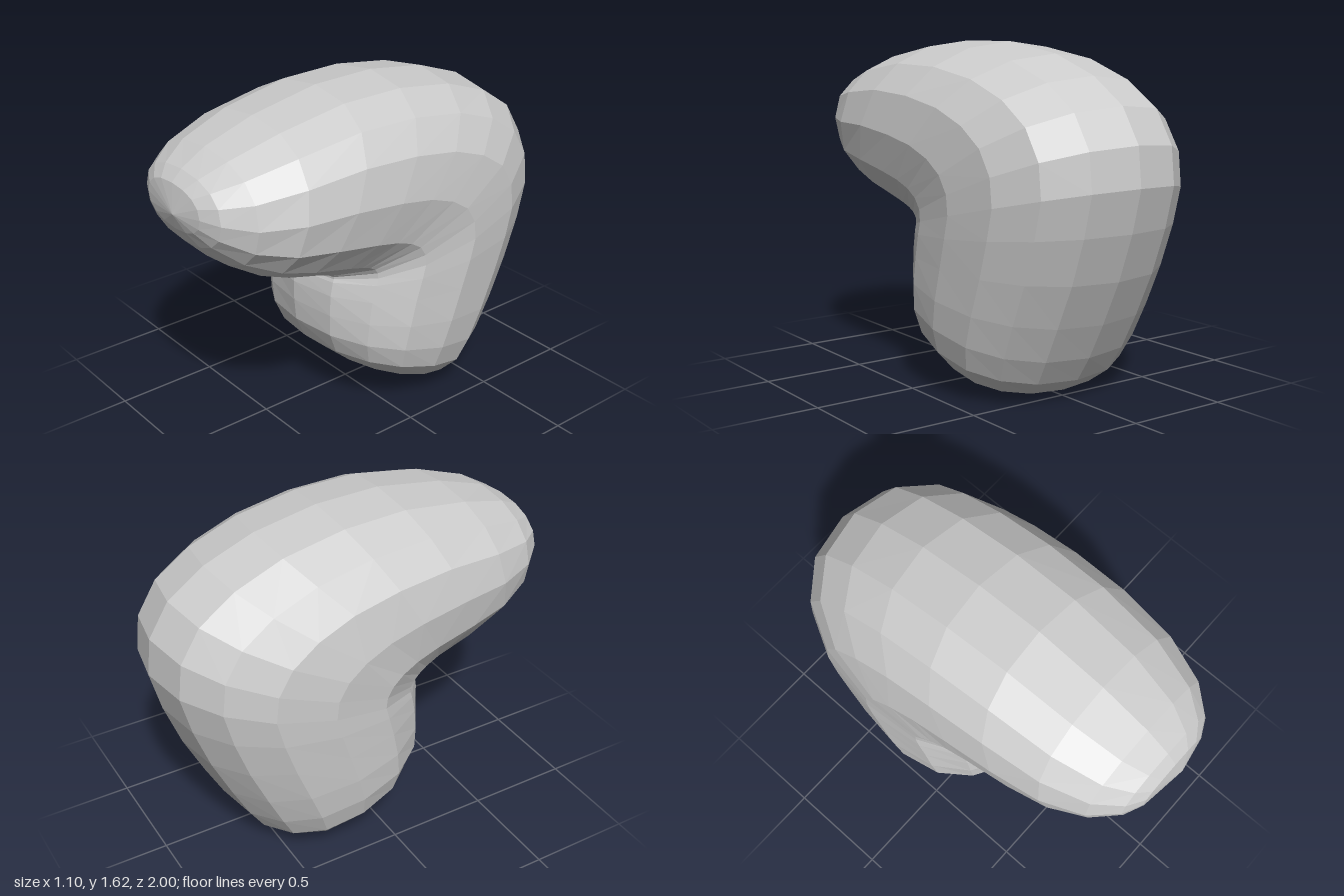
import * as THREE from 'three';

// Cross-sections from the lower end, round the bend, to the front tip:
// [outer z, outer y, inner z, inner y, half width]
const SECTIONS = [
  [-0.38, 0.005, -0.03, 0.12, 0.26],
  [-0.50, 0.03, 0.13, 0.22, 0.40],
  [-0.60, 0.10, 0.25, 0.33, 0.48],
  [-0.68, 0.22, 0.30, 0.44, 0.515],
  [-0.77, 0.39, 0.31, 0.55, 0.53],
  [-0.87, 0.60, 0.31, 0.65, 0.535],
  [-0.95, 0.82, 0.30, 0.715, 0.54],
  [-1.00, 1.02, 0.295, 0.725, 0.54],
  [-0.98, 1.20, 0.295, 0.73, 0.54],
  [-0.88, 1.36, 0.30, 0.735, 0.54],
  [-0.70, 1.48, 0.31, 0.74, 0.535],
  [-0.45, 1.57, 0.33, 0.75, 0.53],
  [-0.13, 1.62, 0.37, 0.77, 0.525],
  [0.20, 1.62, 0.54, 0.82, 0.51],
  [0.55, 1.56, 0.68, 0.88, 0.475],
  [0.80, 1.48, 0.82, 0.97, 0.395],
  [0.92, 1.41, 0.93, 1.08, 0.29],
  [0.97, 1.36, 0.97, 1.15, 0.20],
];
const SIDES = 16;
const ROUNDNESS = 0.88; // 1 is a plain ellipse, lower is boxier
const power = (v) => Math.sign(v) * Math.abs(v) ** ROUNDNESS;

// Closed loft of boxy oval rings with a pole at each end
function loftGeometry() {
  const points = [];
  const index = [];
  SECTIONS.forEach(([oz, oy, iz, iy, w], k) => {
    const shift = 0.05 * THREE.MathUtils.smoothstep(k, 8, 15) - 0.007;
    for (let j = 0; j < SIDES; j++) {
      const a = (j / SIDES) * Math.PI * 2;
      const x = w * power(Math.sin(a)) + shift;
      const t = (1 - power(Math.cos(a))) / 2; // 0 outer side, 1 inner side
      points.push(x, oy + (iy - oy) * t, oz + (iz - oz) * t);
    }
  });
  const last = SECTIONS.length - 1;
  const start = points.length / 3;
  points.push(-0.005, 0.045, -0.2, 0.08, 1.235, 1.0);
  const at = (k, j) => k * SIDES + (j % SIDES);
  for (let j = 0; j < SIDES; j++) {
    for (let k = 0; k < last; k++) {
      index.push(at(k, j), at(k + 1, j), at(k + 1, j + 1));
      index.push(at(k, j), at(k + 1, j + 1), at(k, j + 1));
    }
    index.push(start, at(0, j), at(0, j + 1));
    index.push(start + 1, at(last, j + 1), at(last, j));
  }
  const geometry = new THREE.BufferGeometry();
  geometry.setAttribute('position', new THREE.Float32BufferAttribute(points, 3));
  geometry.setIndex(index);
  geometry.computeVertexNormals();
  return geometry;
}

export function createModel() {
  const group = new THREE.Group();
  group.name = 'bean';
  const body = new THREE.Mesh(
    loftGeometry(),
    new THREE.MeshStandardMaterial({ color: 0xcccccc, flatShading: true })
  );
  body.name = 'beanBody';
  group.add(body);
  return group;
}
